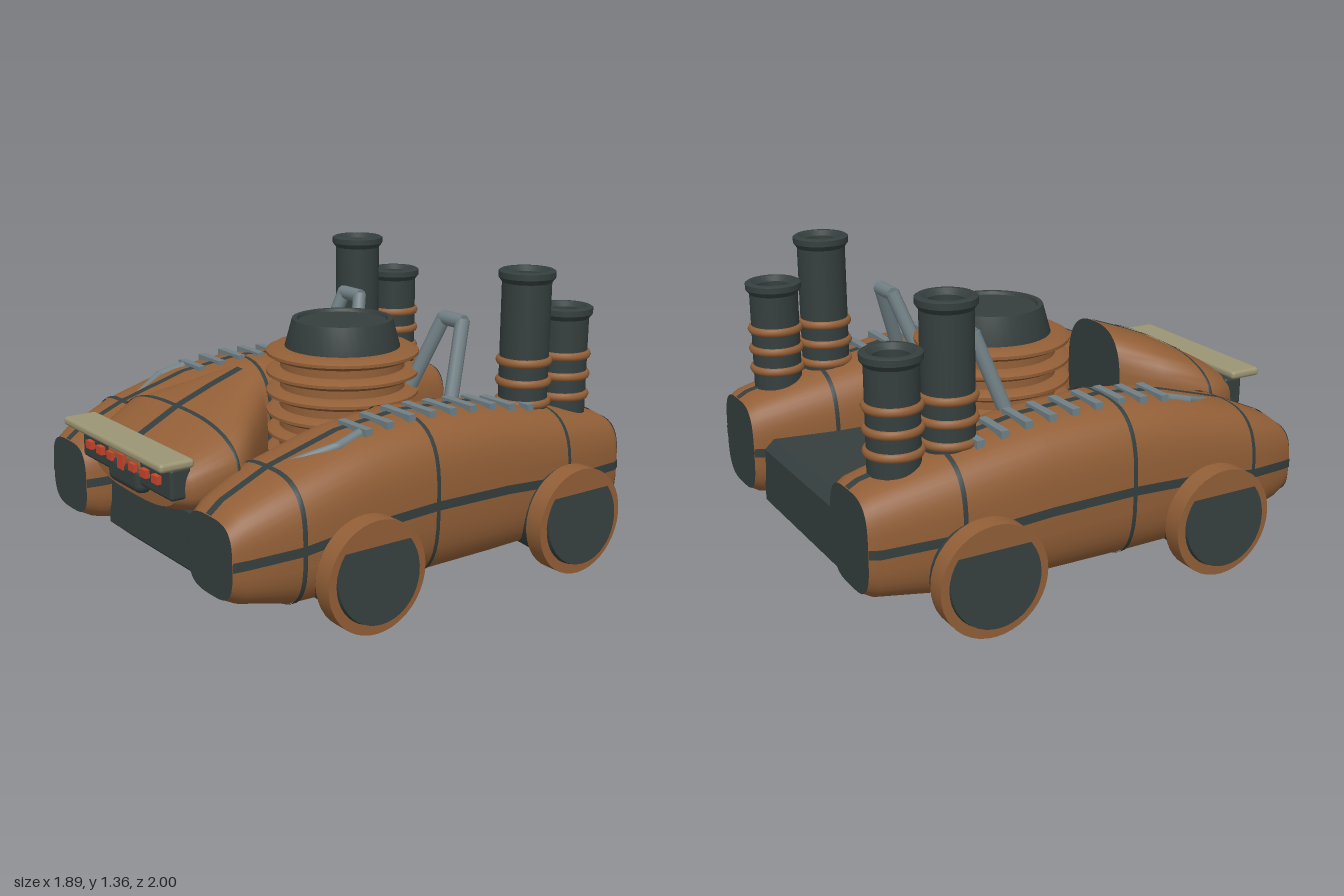
import * as THREE from 'three';
import { RoundedBoxGeometry } from 'three/addons/geometries/RoundedBoxGeometry.js';
import { toCreasedNormals, mergeVertices } from 'three/addons/utils/BufferGeometryUtils.js';

const mat = (name, color) => {
  const m = new THREE.MeshStandardMaterial({ color, side: THREE.DoubleSide });
  m.name = name;
  return m;
};

// Hull cross-sections: z, centre x, centre y, half width, half height
const POD = [
  [-1, .565, .515, .165, .19], [-.96, .565, .515, .185, .212], [-.65, .565, .528, .232, .272], [-.3, .567, .557, .248, .305],
  [.06, .568, .566, .256, .314], [.35, .565, .55, .252, .297], [.65, .562, .51, .24, .25],
  [.85, .567, .487, .18, .185], [.905, .57, .48, .155, .15]
];
const HOOD = [
  [.41, 0, .74, .2, .24], [.55, 0, .71, .325, .22], [.7, 0, .685, .455, .185],
  [.86, 0, .66, .385, .125], [.9, 0, .65, .33, .1]
];

const at = (secs, z) => {
  let i = 0;
  while (i < secs.length - 2 && z > secs[i + 1][0]) i++;
  const [a, b] = [secs[i], secs[i + 1]], t = (z - a[0]) / (b[0] - a[0]);
  return a.map((v, k) => v + (b[k] - v) * t);
};
const pow = (v, n) => Math.sign(v) * Math.pow(Math.abs(v), 2 / n);
const point = ([, cx, cy, hw, hh], u, n, o = 0) =>
  [cx + (hw + o) * pow(Math.cos(u), n), cy + (hh + o) * pow(Math.sin(u), n)];

// Skin between squircle sections; mid/width restrict it to a stripe
function loft(secs, n, { o = 0, mid = null, width = 0 } = {}) {
  const seg = mid === null ? 40 : 2, pos = [], idx = [];
  secs.forEach(s => {
    const r = Math.abs(Math.sin(mid ?? 0)) > .5 ? s[3] : s[4];
    const half = mid === null ? Math.PI : Math.asin(Math.pow(width / r, n / 2));
    for (let j = 0; j <= seg; j++) {
      const u = (mid ?? 0) - half + 2 * half * j / seg;
      pos.push(...point(s, u, n, o), s[0]);
    }
  });
  for (let i = 0; i < secs.length - 1; i++) for (let j = 0; j < seg; j++) {
    const a = i * (seg + 1) + j, c = a + seg + 1;
    idx.push(a, a + 1, c, a + 1, c + 1, c);
  }
  let g = new THREE.BufferGeometry();
  g.setAttribute('position', new THREE.Float32BufferAttribute(pos, 3));
  g.setIndex(idx);
  g = mergeVertices(g, 1e-5);
  g.computeVertexNormals();
  return g;
}
function cap(s, n, front) {
  const pts = [];
  for (let j = 0; j < 40; j++) pts.push(new THREE.Vector2(...point(s, j / 40 * Math.PI * 2, n)));
  const g = new THREE.ShapeGeometry(new THREE.Shape(pts));
  if (!front) {
    const k = g.index.array;
    for (let i = 0; i < k.length; i += 3) [k[i], k[i + 1]] = [k[i + 1], k[i]];
    g.computeVertexNormals();
  }
  return g.translate(0, 0, s[0]);
}
const lathe = pts => toCreasedNormals(
  new THREE.LatheGeometry(pts.map(p => new THREE.Vector2(...p)), 40), .6);

export function createModel() {
  const root = new THREE.Group();
  const orange = mat('orange paint', 0x925f37), dark = mat('dark metal', 0x353e3e),
    grey = mat('grey steel', 0x718085), khaki = mat('khaki', 0x9b9574), red = mat('red lamp', 0xc8452c);
  const add = (name, geo, m, x = 0, y = 0, z = 0, parent = root) => {
    const mesh = new THREE.Mesh(geo, m);
    mesh.name = name;
    mesh.position.set(x, y, z);
    parent.add(mesh);
    return mesh;
  };
  // Bent rod made of straight segments
  const rod = (name, pts, r) => {
    const path = new THREE.CurvePath(), v = pts.map(p => new THREE.Vector3(...p));
    for (let i = 1; i < v.length; i++) path.add(new THREE.LineCurve3(v[i - 1], v[i]));
    for (const c of path.curves) {
      const m = add(name, new THREE.CylinderGeometry(r, r, c.getLength() + r * .6, 10), grey);
      m.position.copy(c.getPoint(.5));
      m.quaternion.setFromUnitVectors(new THREE.Vector3(0, 1, 0), c.getTangent(0));
    }
  };

  // Chassis: stacked octagonal outlines, chamfered above and below
  const rings = [[.23, .9, .08], [.3, 1, 0], [.53, 1, 0], [.57, .97, .04]];
  const cp = [], ci = [];
  rings.forEach(([y, k, d]) => {
    const f = .81 - d, b = -.96 + d, w = .4 * k, W = .62 * k;
    [[w, f], [W, .42], [W, -.55], [w, b], [-w, b], [-W, -.55], [-W, .42], [-w, f]]
      .forEach(([x, z]) => cp.push(x, y, z));
  });
  for (let i = 0; i < 3; i++) for (let j = 0; j < 8; j++) {
    const a = i * 8 + j, b = i * 8 + (j + 1) % 8;
    ci.push(a, b, a + 8, b, b + 8, a + 8);
  }
  for (let j = 1; j < 7; j++) ci.push(0, j + 1, j, 24, 24 + j, 25 + j);
  let cg = new THREE.BufferGeometry();
  cg.setAttribute('position', new THREE.Float32BufferAttribute(cp, 3));
  cg.setIndex(ci);
  cg = cg.toNonIndexed();
  cg.computeVertexNormals();
  add('chassis', cg, dark);

  // Lift fan below
  add('liftFan', lathe([[0, .03], [.235, .03], [.262, 0], [.34, .09], [.25, .25]]), dark, 0, 0, -.095);

  // Central turbine with stacked rings
  add('turbineBody', new THREE.CylinderGeometry(.26, .27, .5, 40), orange, 0, .75, -.095);
  for (let i = 0; i < 6; i++)
    add('turbineRing', lathe([[.24, -.022], [.29, -.022], [.32, -.006], [.32, .006], [.29, .022], [.24, .022]]),
      orange, 0, .99 - i * .084, -.095);
  add('turbineCap', lathe([[.245, .98], [.245, 1.0], [.21, 1.128], [.19, 1.128], [.185, 1.115], [0, 1.115]]),
    dark, 0, 0, -.095);

  // Front hood
  add('hood', loft(HOOD, 2.7), orange);
  add('hoodBack', cap(HOOD[0], 2.7, false), dark);
  add('hoodFront', cap(HOOD[4], 2.7, true), orange);
  add('hoodStripe', loft(HOOD, 2.7, { o: .004, mid: Math.PI / 2, width: .022 }), dark);
  add('hoodSeam', loft([.693, .7, .707].map(z => at(HOOD, z)), 2.7, { o: .004 }), dark);

  // Nose: wing, lamp bar, grille and lamps
  add('frontWing', new RoundedBoxGeometry(.8, .036, .145, 2, .015), khaki, 0, .77, .927);
  add('lampBar', new RoundedBoxGeometry(.72, .125, .09, 2, .015), dark, 0, .685, .892);
  add('grilleSurround', new RoundedBoxGeometry(.29, .07, .07, 2, .03), orange, 0, .7, .908);
  add('grille', new RoundedBoxGeometry(.26, .115, .08, 3, .035), dark, 0, .642, .912);
  for (let i = -3; i <= 3; i++)
    add('lamp', new THREE.BoxGeometry(.045, i ? .032 : .06, .03), red, i * .09, .692, .942);

  for (const s of [1, -1]) {
    // Side pod with seams, stripes and end caps
    const secs = POD.map(([z, x, ...r]) => [z, x * s, ...r]);
    add('pod', loft(secs, 3), orange);
    add('podFrontCap', cap(secs[secs.length - 1], 3.4, true), dark);
    add('podRearCap', cap(secs[0], 3.4, false), dark);
    for (const mid of [0, Math.PI / 2, Math.PI])
      add('podStripe', loft(secs, 3, { o: .004, mid, width: .018 }), dark);
    for (const z of [.65, .06, -.65])
      add('podSeam', loft([z - .009, z, z + .009].map(q => at(secs, q)), 3, { o: .004 }), dark);

    // Wheels with flared axle and tilted hub
    for (const z of [.415, -.6]) {
      const axle = add('axle', new THREE.CylinderGeometry(.19, .165, .3, 32), dark, s * .7, .4, z);
      axle.rotation.z = -s * Math.PI / 2;
      const wheel = add('wheel', new THREE.CylinderGeometry(.218, .218, .08, 40), orange, s * .88, .394, z);
      wheel.rotation.z = -s * Math.PI / 2;
      const hub = add('wheelHub', new THREE.CylinderGeometry(.183, .19, .05, 40), dark, s * .905, .403, z);
      hub.rotation.z = -s * (Math.PI / 2 - .09);
    }

    // Exhaust stacks
    for (const [z, top] of [[-.595, 1.36], [-.815, 1.19]]) {
      add('exhaustStack', lathe([[.1, .65], [.1, top - .05], [.115, top - .03], [.115, top - .006], [.105, top],
        [.09, top], [.068, top - .02], [.068, top - .15], [0, top - .15]]), dark, s * .567, 0, z);
      for (const y of [.99, .905, .82]) {
        const ring = add('exhaustRing', new THREE.TorusGeometry(.096, .019, 8, 36), orange, s * .567, y, z);
        ring.rotation.x = Math.PI / 2;
      }
    }

    // Rungs and pipe along the pod top
    for (let i = 0; i < 9; i++) {
      const z = .285 - i * .1015, p = at(POD, z);
      add('rung', new THREE.BoxGeometry(.175, .035, .034), grey, s * .6, p[2] + p[4] - .002, z);
    }
    rod('podPipe', [[s * .65, .85, .29], [s * .665, .82, .41], [s * .59, .765, .56]], .02);

    // Angled handle between pod and turbine
    rod('handle', [[s * .47, .82, -.29], [s * .405, 1.14, -.4], [s * .29, 1.14, -.4], [s * .2, .86, -.31]], .03);

    // Small pipes under the nose
    rod('underPipe', [[s * .38, .222, .55], [s * .24, .218, .56], [s * .15, .222, .62]], .015);
    rod('underPipe', [[s * .34, .222, .62], [s * .22, .222, .64]], .015);
  }
  return root;
}
